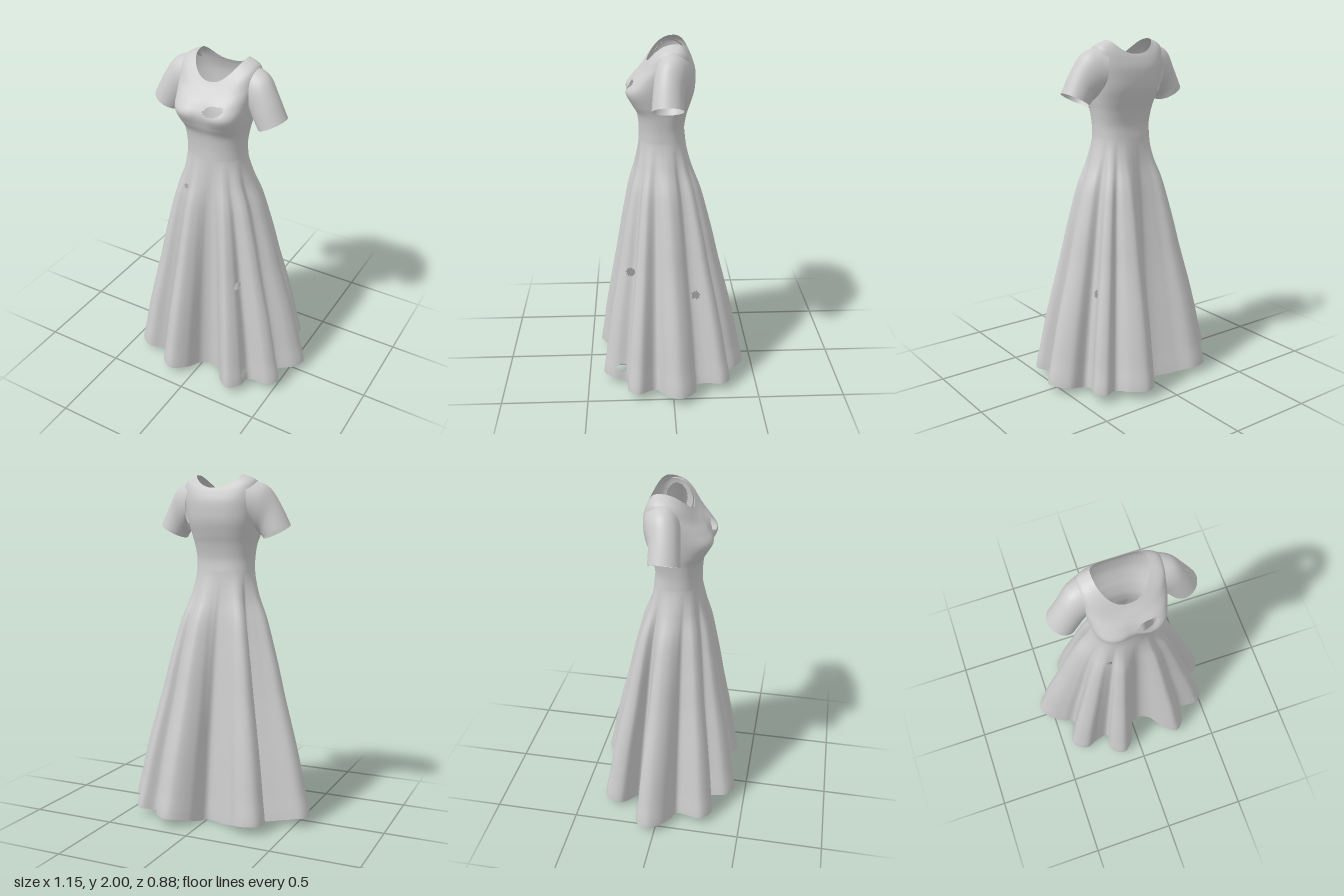
import * as THREE from 'three';

const fabric = new THREE.MeshStandardMaterial({ color: 0xcccccc, side: THREE.DoubleSide });
fabric.name = 'grey fabric';

const COLS = 288, SKIRT_ROWS = 120, BODICE_ROWS = 60;
const lerp = THREE.MathUtils.lerp;

// Smooth interpolation through rows of numbers, u from 0 to 1
function spline(rows, u) {
  const n = rows.length - 1, f = Math.min(u * n, n - 1e-6), i = Math.floor(f), t = f - i;
  const at = k => rows[Math.max(0, Math.min(n, k))];
  return rows[0].map((_, c) => {
    const [a, b, d, e] = [at(i - 1)[c], at(i)[c], at(i + 1)[c], at(i + 2)[c]];
    return b + 0.5 * t * (d - a + t * (2 * a - 5 * b + 4 * d - e + t * (3 * (b - d) + e - a)));
  });
}

// Surface from closed loops of points; skip(x, y, z) leaves out faces
function loft(name, rings, flip = false, skip = () => false) {
  const n = rings[0].length, pts = rings.flat(), index = [];
  const tri = (a, b, c) => {
    const m = [0, 1, 2].map(k => (pts[a][k] + pts[b][k] + pts[c][k]) / 3);
    if (!skip(...m)) index.push(...(flip ? [a, c, b] : [a, b, c]));
  };
  for (let r = 0; r < rings.length - 1; r++) {
    for (let c = 0; c < n; c++) {
      const a = r * n + c, b = r * n + (c + 1) % n;
      tri(a, a + n, b);
      tri(b, a + n, b + n);
    }
  }
  const geo = new THREE.BufferGeometry();
  geo.setAttribute('position', new THREE.Float32BufferAttribute(pts.flat(), 3));
  geo.setIndex(index);
  geo.computeVertexNormals();
  const mesh = new THREE.Mesh(geo, fabric);
  mesh.name = name;
  return mesh;
}

// Wavy hem outline (x, z): nine fold lobes with valleys between
const HEM = [
  [0.572, -0.04], [0.545, 0.03], [0.445, 0.1], [0.515, 0.2], [0.475, 0.262], [0.345, 0.265],
  [0.33, 0.35], [0.27, 0.41], [0.2, 0.365], [0.125, 0.255], [0.06, 0.225], [-0.005, 0.255],
  [-0.045, 0.37], [-0.12, 0.437], [-0.2, 0.385], [-0.195, 0.28], [-0.275, 0.295], [-0.355, 0.325],
  [-0.435, 0.265], [-0.385, 0.11], [-0.45, 0.085], [-0.535, 0.03], [-0.573, -0.04], [-0.545, -0.105],
  [-0.4, -0.12], [-0.25, -0.15], [-0.375, -0.245], [-0.355, -0.335], [-0.26, -0.355], [-0.165, -0.29],
  [0, -0.225], [0.05, -0.355], [0.155, -0.44], [0.25, -0.385], [0.295, -0.305], [0.38, -0.34],
  [0.43, -0.29], [0.385, -0.185], [0.39, -0.135], [0.495, -0.13],
];

// Bodice rings from waist to neckline: side y, front y, back y,
// half width, front z, back z, side z, front roundness, dip between the cups
const BODICE = [
  [1.45, 1.45, 1.45, 0.172, 0.18, -0.085, 0.05, 0.9, 0],
  [1.52, 1.52, 1.52, 0.171, 0.18, -0.08, 0.05, 0.85, 0],
  [1.6, 1.6, 1.6, 0.18, 0.19, -0.095, 0.04, 0.75, 0],
  [1.66, 1.66, 1.66, 0.192, 0.222, -0.115, 0.03, 0.62, 0.005],
  [1.73, 1.73, 1.73, 0.205, 0.255, -0.135, 0.01, 0.56, 0.02],
  [1.8, 1.785, 1.79, 0.216, 0.222, -0.14, 0, 0.62, 0.01],
  [1.885, 1.83, 1.85, 0.225, 0.178, -0.137, -0.01, 0.75, 0],
  [1.965, 1.865, 1.9, 0.213, 0.148, -0.122, -0.015, 0.85, 0],
  [2.0, 1.89, 1.925, 0.143, 0.13, -0.11, -0.025, 0.88, 0],
];

function bodicePoint(row, a) {
  const [yS, yF, yB, w, zF, zB, zS, roundness, dip] = row;
  const c = Math.cos(a), s = Math.sin(a), front = s > 0;
  const p = front ? roundness : 0.8;
  const x = w * Math.sign(c) * Math.abs(c) ** p;
  const z = lerp(zS, front ? zF : zB, Math.abs(s) ** p);
  return [x, lerp(yS, front ? yF : yB, s * s), front ? z - dip * Math.exp(-((x / 0.06) ** 2)) : z];
}

// How far the skirt has spread from waist to hem, at equal steps of height
const SPREAD = [0, 0.1, 0.25, 0.36, 0.46, 0.55, 0.65, 0.75, 0.84, 0.92, 1].map(v => [v]);

// Worn holes in the left side of the skirt: z, y, radius, least x
const SIDE_HOLES = [[0.24, 0.705, 0.025, 0.15], [-0.135, 0.58, 0.024, 0.2], [0.3, 0.11, 0.027, 0.27]];

// Armholes and worn holes: the face centres inside them are left out
function inHole(x, y, z) {
  if (Math.abs(x) > 0.18 && ((y - 1.84) / 0.085) ** 2 + ((z + 0.005) / 0.06) ** 2 < 1) return true;
  const dx = x - 0.072, dy = y - 1.77 - dx * 0.2;
  if (z > 0.1 && (dx / 0.058) ** 2 + (dy / 0.026) ** 2 < 1) return true;
  if (z > 0.1 && Math.hypot(x + 0.127, y - 1.242) < 0.014) return true;
  return SIDE_HOLES.some(([hz, hy, r, least]) => x > least && Math.hypot(z - hz, y - hy) < r);
}

function makeGown() {
  const curve = new THREE.CatmullRomCurve3(HEM.map(([x, z]) => new THREE.Vector3(x, 0, z)), true);
  const hem = curve.getSpacedPoints(COLS).slice(0, COLS);

  // Angle of each column, unwrapped and averaged so that it grows evenly around the waist
  const raw = [];
  hem.forEach((p, i) => {
    let a = Math.atan2(p.z / 0.43, p.x / 0.57);
    while (i && a < raw[i - 1] - Math.PI) a += 2 * Math.PI;
    raw.push(a);
  });
  const half = Math.round(COLS / 18);
  const angles = raw.map((_, i) => {
    let sum = 0;
    for (let k = i - half; k <= i + half; k++) {
      sum += raw[(k + COLS) % COLS] + 2 * Math.PI * Math.floor(k / COLS);
    }
    return sum / (2 * half + 1);
  });

  const rings = [];
  // Skirt, hem to waist
  for (let r = 0; r < SKIRT_ROWS; r++) {
    const v = 1 - r / SKIRT_ROWS, [t] = spline(SPREAD, v);
    rings.push(hem.map((p, i) => {
      const [x, y, z] = bodicePoint(BODICE[0], angles[i]);
      const reach = Math.hypot(p.x / 0.57, p.z / 0.43);
      const hemY = 0.05 * THREE.MathUtils.smoothstep(reach, 0.53, 1.05);
      return [lerp(x, p.x, t), lerp(y, hemY, v), lerp(z, p.z, t)];
    }));
  }
  // Bodice, waist to neckline
  for (let r = 0; r <= BODICE_ROWS; r++) {
    const row = spline(BODICE, r / BODICE_ROWS);
    rings.push(angles.map(a => bodicePoint(row, a)));
  }
  return loft('gown', rings, false, inHole);
}

// Sleeve rings from shoulder to cuff: centre x y z, upward half axis x y, half depth
const SLEEVE = [
  [0.19, 1.845, -0.01, -0.015, 0.125, 0.1],
  [0.245, 1.81, 0.005, 0.03, 0.125, 0.092],
  [0.288, 1.752, 0.02, 0.053, 0.09, 0.085],
  [0.328, 1.68, 0.025, 0.075, 0.04, 0.087],
];

function makeSleeve(name, side) {
  const rings = [];
  for (let r = 0; r <= 24; r++) {
    const [x, y, z, ux, uy, d] = spline(SLEEVE, r / 24);
    rings.push(Array.from({ length: 48 }, (_, i) => {
      const a = i / 48 * 2 * Math.PI, c = Math.cos(a);
      return [side * (x + ux * c), y + uy * c, z + d * Math.sin(a)];
    }));
  }
  return loft(name, rings, side > 0);
}

export function createModel() {
  const dress = new THREE.Group();
  dress.name = 'dress';
  dress.add(makeGown(), makeSleeve('leftSleeve', 1), makeSleeve('rightSleeve', -1));
  return dress;
}
